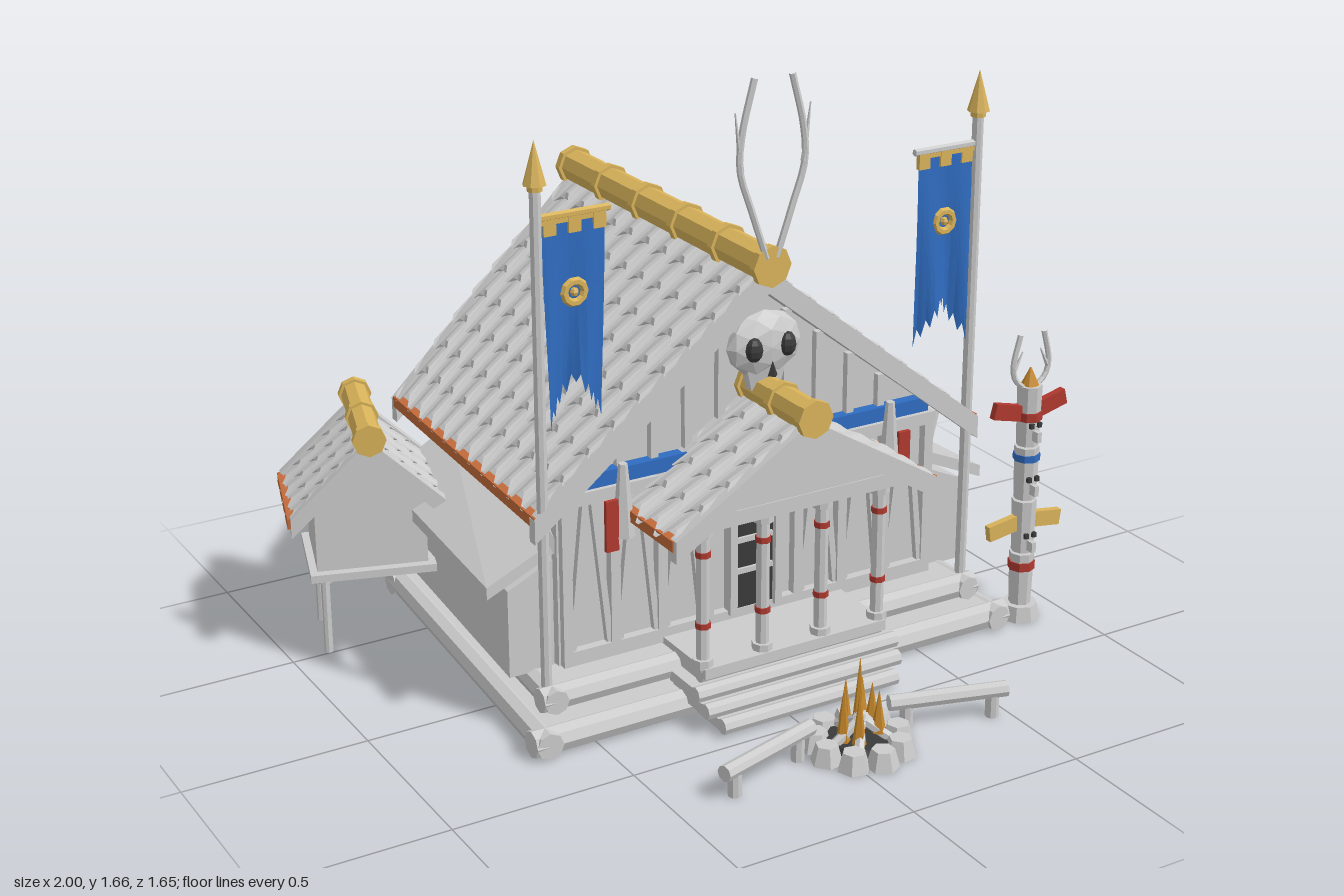
import * as THREE from 'three';

const mat = (color, side = THREE.FrontSide) => new THREE.MeshStandardMaterial({ color, flatShading: true, side });
const grey = mat(0xcccccc), greyThin = mat(0xcccccc, THREE.DoubleSide);
const gold = mat(0xd9b35a), goldThin = mat(0xd9b35a, THREE.DoubleSide), orange = mat(0xc0693a);
const blue = mat(0x2f6cc0), blueThin = mat(0x2f6cc0, THREE.DoubleSide);
const red = mat(0xb03a30), dark = mat(0x3a3a3a), amber = mat(0xc98a2b);
const V = (x, y, z) => new THREE.Vector3(x, y, z);
const lerp = THREE.MathUtils.lerp;

function add(parent, name, geo, material, x = 0, y = 0, z = 0) {
  const m = new THREE.Mesh(geo, material);
  m.name = name;
  m.position.set(x, y, z);
  parent.add(m);
  return m;
}
function group(parent, name, x = 0, y = 0, z = 0) {
  const g = new THREE.Group();
  g.name = name;
  g.position.set(x, y, z);
  parent.add(g);
  return g;
}
const box = (p, name, w, h, d, x, y, z, m = grey) => add(p, name, new THREE.BoxGeometry(w, h, d), m, x, y, z);

// Geometry along local z, laid between two points
function between(p, name, geo, a, b, m) {
  const mesh = new THREE.Mesh(geo, m);
  mesh.name = name;
  mesh.position.copy(a).lerp(b, 0.5);
  mesh.lookAt(b);
  p.add(mesh);
  return mesh;
}
const log = (p, name, a, b, r, m = grey, n = 8, r2 = r) =>
  between(p, name, new THREE.CylinderGeometry(r2, r, a.distanceTo(b), n).rotateX(Math.PI / 2), a, b, m);
const beam = (p, name, a, b, w, h, m = grey) =>
  between(p, name, new THREE.BoxGeometry(w, h, a.distanceTo(b)), a, b, m);

// Box whose eight corners are moved by a rule
function block(p, name, rule, m = grey) {
  const g = new THREE.BoxGeometry(2, 2, 2), pos = g.attributes.position;
  for (let i = 0; i < pos.count; i++) {
    const v = rule(pos.getX(i), pos.getY(i), pos.getZ(i));
    pos.setXYZ(i, v.x, v.y, v.z);
  }
  return add(p, name, g, m);
}

// Gabled roof: wavy stepped tiles, slabs, barge boards, eave boards and a banded ridge pole
function roof(p, o) {
  const at = (s, t, u, dy = 0, dz = 0) => V(s * t * lerp(o.half, o.halfBack, u),
    lerp(o.apex, o.eave, t) + dy, lerp(o.zf, lerp(o.zr, o.ze, t * t), u) + dz);
  for (const s of [-1, 1]) {
    const nu = o.waves * 6, g = new THREE.PlaneGeometry(1, 1, nu, o.rows * 2 - 1), pos = g.attributes.position;
    for (let i = 0; i < pos.count; i++) {
      const k = Math.floor(i / (nu + 1)), u = (i % (nu + 1)) / nu, low = k % 2;
      const wave = Math.sin(u * o.waves * Math.PI * 2);
      const t = ((k + low) / 2) / o.rows + low * (0.006 - 0.012 * wave) / (o.apex - o.eave);
      const v = at(s, t, u, o.lift * (0.4 * wave + 0.5 + low));
      pos.setXYZ(i, v.x, v.y, v.z);
    }
    add(p, 'roofTiles', g, greyThin);
    block(p, 'roofSlab', (x, y, z) => at(s, (x * s + 1) / 2, (1 - z) / 2, y > 0 ? 0 : -0.03));
    for (const u of [0, 1])
      block(p, 'bargeBoard', (x, y, z) => at(s, (x * s + 1) / 2 * 1.03, u, y > 0 ? 0.015 : -o.board, z * 0.015));
    beam(p, 'eaveBoard', at(s, 1.01, -0.01, -0.005), at(s, 1.01, 1, -0.005), 0.025, 0.03, orange);
  }
  const yr = o.apex + o.pole * 0.5, z0 = o.zf + 0.03, z1 = o.zr - 0.015;
  log(p, 'ridgePole', V(0, yr, z0), V(0, yr, z1), o.pole * 0.9, gold);
  for (let i = 0; i <= o.bands; i++) {
    const z = lerp(z0 - 0.01, z1 + 0.01, i / o.bands);
    log(p, 'ridgeBand', V(0, yr, z + 0.011), V(0, yr, z - 0.011), o.pole * 1.08, gold);
  }
}

// Gable-ended wall volume, narrowing to the back
function gableBody(p, half, y0, y1, peak, zf, zb, back) {
  const s = new THREE.Shape([[-half, y0], [half, y0], [half, y1], [0, peak], [-half, y1]].map(a => new THREE.Vector2(...a)));
  const g = new THREE.ExtrudeGeometry(s, { depth: zf - zb, bevelEnabled: false }).translate(0, 0, zb), pos = g.attributes.position;
  for (let i = 0; i < pos.count; i++) if (pos.getZ(i) < zb + 0.01) pos.setX(i, pos.getX(i) * back);
  add(p, 'walls', g, grey);
}

// Tiered log foundation
function foundation(h) {
  for (const [y, r, f, b, zf, zb] of [[0.038, 0.037, 0.74, 0.66, 0.33, -0.785], [0.115, 0.034, 0.68, 0.61, 0.26, -0.75]]) {
    block(h, 'floor', (x, yy, z) => V(x * ((z > 0 ? f : b) - r), y + yy * r * 0.9, z > 0 ? zf - r : zb + r));
    log(h, 'frontLog', V(-f, y, zf - r), V(f, y, zf - r), r);
    log(h, 'backLog', V(-b, y, zb + r), V(b, y, zb + r), r);
    for (const s of [-1, 1]) log(h, 'sideLog', V(s * (f - r), y, zf), V(s * (b - r), y, zb), r);
  }
}

// Timber framing on every wall, and the lean-to sheds
function framing(h) {
  for (const [z, w] of [[0.15, 0.56], [-0.69, 0.52]]) {
    box(h, 'sill', w * 2, 0.04, 0.03, 0, 0.17, z);
    box(h, 'topBeam', w * 2.06, 0.035, 0.04, 0, 0.615, z);
    box(h, 'paintedBeam', w * 1.96, 0.04, 0.045, 0, 0.66, z, blue);
    for (let i = 0; i <= 8; i++) {
      const x = lerp(-w, w, i / 8), mid = x + w / 8;
      if (i !== 4 || z < 0) box(h, 'stud', 0.028, 0.46, 0.03, x, 0.38, z);
      if (i < 8 && (z < 0 || (i !== 3 && i !== 4)))
        for (const e of [-1, 1]) beam(h, 'brace', V(mid + e * 0.055, 0.19, z), V(mid + e * 0.012, 0.6, z), 0.018, 0.018);
    }
  }
  for (const x of [-0.4, -0.3, -0.2, -0.1, 0.1, 0.2, 0.3, 0.4]) {
    const top = 1.09 - Math.abs(x) * 0.8;
    box(h, 'gableStud', 0.022, top - 0.66, 0.02, x, (top + 0.66) / 2, 0.15);
  }
  for (const s of [-1, 1]) {
    for (let i = 0; i <= 8; i++) {
      const z = lerp(0.13, -0.67, i / 8), x = s * lerp(0.565, 0.525, i / 8);
      box(h, 'sidePost', 0.03, 0.46, 0.03, x, 0.38, z);
      beam(h, 'eaveBracket', V(x, 0.46, z), V(x + s * 0.06, 0.6, z - 0.03), 0.02, 0.02);
    }
    block(h, 'leanToWall', (x, y, z) => V(s * (x * s > 0 ? (z > 0 ? 0.71 : 0.65) : 0.5), y > 0 ? (x * s > 0 ? 0.385 : 0.48) : 0.14, z > 0 ? 0.12 : -0.63));
    block(h, 'leanToRoof', (x, y, z) => V(s * (x * s > 0 ? (z > 0 ? 0.77 : 0.71) : 0.5), (x * s > 0 ? 0.395 : 0.515) + y * 0.017, z > 0 ? 0.125 : -0.65));
  }
}

// Porch with posts, steps, door and hanging cloths
function porch(h) {
  const p = group(h, 'porch');
  roof(p, { apex: 0.8, eave: 0.565, half: 0.385, halfBack: 0.385, zf: 0.42, zr: 0.15, ze: 0.15, rows: 5, waves: 3, lift: 0.012, board: 0.045, pole: 0.048, bands: 2 });
  block(p, 'porchGable', (x, y, z) => V(x * (y > 0 ? 0.01 : 0.27), y > 0 ? 0.765 : 0.595, 0.375 + z * 0.012));
  box(p, 'porchBeam', 0.6, 0.04, 0.04, 0, 0.575, 0.37);
  box(p, 'porchFloor', 0.56, 0.03, 0.22, 0, 0.15, 0.27);
  for (const x of [-0.27, -0.09, 0.09, 0.27]) {
    log(p, 'porchPost', V(x, 0.15, 0.35), V(x, 0.57, 0.35), 0.018);
    log(p, 'postFoot', V(x, 0.16, 0.35), V(x, 0.185, 0.35), 0.028);
    log(p, 'postCap', V(x, 0.53, 0.35), V(x, 0.56, 0.35), 0.028);
    for (const y of [0.28, 0.48]) log(p, 'postBand', V(x, y - 0.008, 0.35), V(x, y + 0.008, 0.35), 0.021, red);
  }
  for (let i = 0; i < 4; i++) {
    const w = [0.27, 0.3, 0.31, 0.28][i], y = 0.028 + i * 0.036, z = 0.445 - i * 0.033;
    log(p, 'step', V(-w, y, z), V(w, y, z), 0.022);
    box(p, 'stepTread', w * 2, 0.03, z - 0.25, 0, y, (z + 0.25) / 2);
  }
  box(p, 'door', 0.13, 0.36, 0.02, 0, 0.37, 0.152, dark);
  for (const s of [-1, 1]) {
    box(p, 'doorFrame', 0.022, 0.4, 0.035, s * 0.07, 0.38, 0.16);
    box(p, 'hangingCloth', 0.036, 0.14, 0.012, s * 0.45, 0.54, 0.2, red);
    log(p, 'lantern', V(s * 0.41, 0.5, 0.19), V(s * 0.41, 0.7, 0.19), 0.03, grey, 6, 0.012);
  }
  for (const y of [0.3, 0.39, 0.48]) box(p, 'doorSlat', 0.11, 0.015, 0.02, 0, y, 0.16);
  box(p, 'lintel', 0.18, 0.03, 0.04, 0, 0.565, 0.16);
}

// Gable skull and ridge antlers
function trophy(h) {
  const s = group(h, 'skull', 0, 0.95, 0.2);
  add(s, 'cranium', new THREE.IcosahedronGeometry(1, 1).scale(0.112, 0.09, 0.045), grey);
  add(s, 'snout', new THREE.CylinderGeometry(0.085, 0.05, 0.12, 6).scale(1, 1, 0.5), grey, 0, -0.06, 0);
  for (const e of [-1, 1]) add(s, 'eyeSocket', new THREE.SphereGeometry(0.028, 8, 6).scale(0.9, 1.2, 0.8), dark, e * 0.05, 0, 0.035);
  add(s, 'noseHole', new THREE.ConeGeometry(0.015, 0.04, 4), dark, 0, -0.055, 0.045);
  for (const e of [-1, 1]) {
    const path = [[0.015, 1.19], [0.06, 1.32], [0.095, 1.43], [0.09, 1.52], [0.055, 1.66]].map(a => V(e * a[0], a[1], 0.235));
    add(h, 'antler', new THREE.TubeGeometry(new THREE.CatmullRomCurve3(path), 16, 0.009, 6), grey);
    log(h, 'tine', V(e * 0.092, 1.43, 0.235), V(e * 0.11, 1.58, 0.235), 0.009, grey, 6, 0.002);
  }
}

// Flagpole with a ragged swallow-tailed banner hanging from a crossbar
function flag(h, s) {
  const g = group(h, 'flag', s * 0.65, 0, 0.21), e = -s;
  log(g, 'pole', V(0, 0.14, 0), V(0, 1.48, 0), 0.015);
  log(g, 'finialCollar', V(0, 1.46, 0), V(0, 1.48, 0), 0.02, gold);
  add(g, 'finial', new THREE.ConeGeometry(0.03, 0.11, 8), gold, 0, 1.53, 0);
  log(g, 'crossbar', V(0, 1.39, 0), V(e * 0.2, 1.39, 0), 0.01, s < 0 ? gold : grey, 6);
  const geo = new THREE.PlaneGeometry(1, 1, 16, 8), pos = geo.attributes.position;
  for (let i = 0; i < pos.count; i++) {
    const u = pos.getX(i) + 0.5, v = 0.5 - pos.getY(i), c = Math.round(u * 16);
    const len = 0.54 - 0.11 * (1 - Math.abs(2 * u - 1)) - 0.035 * (c % 2);
    pos.setXYZ(i, e * (0.015 + (0.09 + (u - 0.5) * 0.175 * (1 - 0.12 * v)) - 0.005), 1.385 - v * len, 0.014 * Math.sin(u * 9 + v * 2) * v);
  }
  add(g, 'banner', geo, blueThin);
  for (let i = 0; i < 3; i++) box(g, 'bannerTrim', 0.034, 0.045, 0.014, e * (0.035 + i * 0.068), 1.365, 0, goldThin);
  box(g, 'trimStrip', 0.175, 0.018, 0.012, e * 0.1, 1.38, 0, gold);
  add(g, 'emblemRing', new THREE.TorusGeometry(0.028, 0.011, 6, 10), gold, e * 0.1, 1.19, 0.002);
  add(g, 'emblemCentre', new THREE.SphereGeometry(0.012, 6, 4), gold, e * 0.1, 1.19, 0.002);
}

// Small raised store hut
function storeHut(root) {
  const g = group(root, 'storeHut', -0.74, 0, -0.56);
  g.rotation.y = -0.3;
  roof(g, { apex: 0.63, eave: 0.43, half: 0.21, halfBack: 0.21, zf: 0.16, zr: -0.16, ze: -0.16, rows: 5, waves: 4, lift: 0.01, board: 0.04, pole: 0.042, bands: 2 });
  gableBody(g, 0.15, 0.25, 0.46, 0.6, 0.12, -0.13, 1);
  box(g, 'hutFloor', 0.34, 0.022, 0.29, 0, 0.245, 0);
  for (const z of [0.1, -0.1]) {
    log(g, 'stilt', V(-0.13, 0.005, z), V(-0.13, 0.24, z), 0.012);
    log(g, 'stiltCap', V(-0.13, 0.215, z), V(-0.13, 0.235, z), 0.02);
  }
}

// Carved pole with wings and horns
function totem(root) {
  const g = group(root, 'totem', 0.87, 0, 0.28);
  const ring = (y0, y1, r, m, r2 = r) => log(g, 'totemSegment', V(0, y0, 0), V(0, y1, 0), r, m, 8, r2);
  ring(0, 0.045, 0.058, grey, 0.05);
  for (const [a, b] of [[0.045, 0.2], [0.205, 0.36], [0.365, 0.52], [0.525, 0.7]]) ring(a, b, 0.031, grey, 0.035);
  ring(0.15, 0.175, 0.038, red);
  ring(0.48, 0.5, 0.038, blue);
  ring(0.6, 0.625, 0.038, red);
  ring(0.7, 0.75, 0.025, amber, 0.002);
  for (const s of [-1, 1]) {
    beam(g, 'upperWing', V(s * 0.02, 0.62, 0), V(s * 0.12, 0.645, 0), 0.02, 0.045, red);
    beam(g, 'lowerWing', V(s * 0.02, 0.295, 0), V(s * 0.122, 0.28, 0), 0.02, 0.045, gold);
    const path = [[0.015, 0.69], [0.05, 0.72], [0.06, 0.76], [0.04, 0.85]].map(a => V(s * a[0], a[1], 0));
    add(g, 'horn', new THREE.TubeGeometry(new THREE.CatmullRomCurve3(path), 10, 0.008, 6), grey);
    log(g, 'hornTine', V(s * 0.057, 0.745, 0), V(s * 0.03, 0.8, 0), 0.007, grey, 5, 0.002);
    for (const y of [0.24, 0.41, 0.57]) box(g, 'totemEye', 0.012, 0.014, 0.01, s * 0.013, y + 0.02, 0.033, dark);
  }
  for (const y of [0.24, 0.41, 0.57]) box(g, 'totemBeak', 0.014, 0.03, 0.03, 0, y - 0.01, 0.038);
}

// Stone ring, flames and log benches
function campfire(root) {
  const g = group(root, 'campfire', 0.06, 0, 0.67);
  for (let i = 0; i < 9; i++) {
    const a = i / 9 * Math.PI * 2, r = 0.11;
    add(g, 'stone', new THREE.CylinderGeometry(0.03, 0.044, 0.05, 6), grey, Math.sin(a) * r, 0.025, Math.cos(a) * r).rotation.y = a;
  }
  add(g, 'embers', new THREE.CylinderGeometry(0.085, 0.1, 0.03, 9), dark, 0, 0.02, 0);
  for (let i = 0; i < 7; i++) {
    const a = i * 2.4, r = i ? 0.05 : 0, x = Math.sin(a) * r, z = Math.cos(a) * r;
    add(g, 'flame', new THREE.ConeGeometry(0.02, i ? 0.12 + 0.02 * (i % 3) : 0.2, 5), amber, x, i ? 0.11 : 0.16, z);
    log(g, 'firewood', V(x * 1.7, 0.03, z * 1.7), V(-x * 0.3, 0.1, -z * 0.3 + 0.01), 0.014, grey, 6);
  }
  for (const s of [-1, 1]) {
    log(g, 'benchLog', V(s * 0.12, 0.075, -0.04), V(s * 0.43, 0.075, 0.05), 0.022);
    for (const t of [0.15, 0.88]) log(g, 'benchLeg', V(s * lerp(0.12, 0.43, t), 0, lerp(-0.04, 0.05, t)), V(s * lerp(0.12, 0.43, t), 0.07, lerp(-0.04, 0.05, t)), 0.018);
  }
}

export function createModel() {
  const root = new THREE.Group();
  root.name = 'lodge';
  const h = group(root, 'mainHouse', 0.06);
  foundation(h);
  gableBody(h, 0.56, 0.14, 0.65, 1.09, 0.14, -0.68, 0.93);
  framing(h);
  roof(h, { apex: 1.14, eave: 0.615, half: 0.66, halfBack: 0.62, zf: 0.21, zr: -0.815, ze: -0.715, rows: 9, waves: 11, lift: 0.014, board: 0.05, pole: 0.052, bands: 5 });
  porch(h);
  trophy(h);
  for (const s of [-1, 1]) flag(h, s);
  storeHut(root);
  totem(root);
  campfire(root);
  return root;
}
